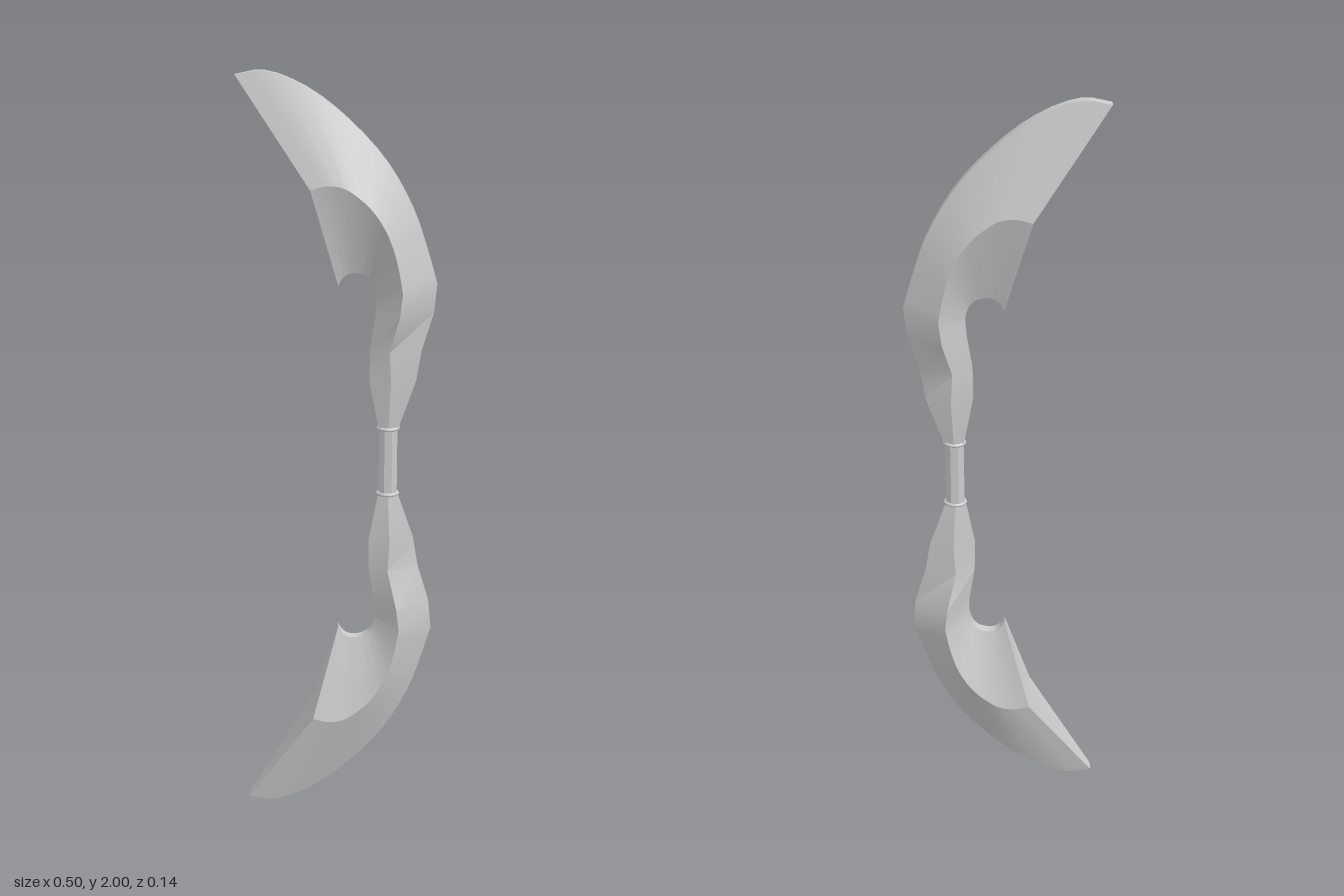
import * as THREE from 'three';
import { toCreasedNormals } from 'three/addons/utils/BufferGeometryUtils.js';

const EDGE = 0.013; // half thickness of the blade edges

// Each station: outer edge x,y, ridge x,y, inner edge x,y (y measured from the grip centre)
const CURVED = [
  [-0.25, 0.99, -0.07, 0.72, 0, 0.47],
  [-0.18, 1.0, -0.03, 0.73, 0.01, 0.488],
  [-0.075, 0.96, 0.01, 0.725, 0.025, 0.5],
  [0.03, 0.88, 0.05, 0.7, 0.045, 0.503],
  [0.125, 0.775, 0.09, 0.66, 0.07, 0.497],
  [0.19, 0.66, 0.125, 0.6, 0.085, 0.483],
  [0.225, 0.56, 0.147, 0.53, 0.093, 0.465],
  [0.25, 0.475, 0.16, 0.46, 0.098, 0.44],
];
// Neck stations, with the ridge half thickness last
const NECK = [
  [0.243, 0.4, 0.153, 0.4, 0.095, 0.39, 0.07],
  [0.213, 0.3, 0.13, 0.3, 0.081, 0.3, 0.035],
  [0.2, 0.22, 0.135, 0.22, 0.08, 0.22, 0.035],
  [0.155, 0.09, 0.13, 0.09, 0.105, 0.09, 0.018],
];

function bladeGeometry() {
  // Smooth the curved part of the three guide lines, then append the neck
  const steps = 21;
  const guides = [0, 2, 4].map((k) => new THREE.CatmullRomCurve3(
    CURVED.map((s) => new THREE.Vector3(s[k], s[k + 1], 0))));
  const stations = [];
  for (let i = 0; i <= steps; i++) {
    stations.push([...guides.flatMap((g) => {
      const p = g.getPoint(i / steps);
      return [p.x, p.y];
    }), 0.07]);
  }
  stations.push(...NECK);

  // Six-sided cross-section: outer edge, ridge, inner edge, front then back
  const positions = [];
  for (const [ox, oy, rx, ry, ix, iy, z] of stations) {
    positions.push(ox, oy, EDGE, rx, ry, z, ix, iy, EDGE,
      ix, iy, -EDGE, rx, ry, -z, ox, oy, -EDGE);
  }
  // Bevelled cut at the open end of the blade
  const index = [0, 5, 4, 0, 4, 1, 1, 4, 3, 1, 3, 2];
  for (let s = 0; s < stations.length - 1; s++) {
    for (let i = 0; i < 6; i++) {
      const a = s * 6 + i, b = s * 6 + (i + 1) % 6;
      index.push(a, b, b + 6, a, b + 6, a + 6);
    }
  }
  const geometry = new THREE.BufferGeometry();
  geometry.setAttribute('position', new THREE.Float32BufferAttribute(positions, 3));
  geometry.setIndex(index);
  return toCreasedNormals(geometry, 0.38);
}

export function createModel() {
  const model = new THREE.Group();
  model.name = 'doubleBlade';
  const material = new THREE.MeshStandardMaterial({ color: 0xcccccc });
  const flat = new THREE.MeshStandardMaterial({ color: 0xcccccc, flatShading: true });

  // Two blades; the lower one is the upper turned over
  const geometry = bladeGeometry();
  for (const [name, turn] of [['upperBlade', 0], ['lowerBlade', Math.PI]]) {
    const blade = new THREE.Mesh(geometry, material);
    blade.name = name;
    blade.position.y = 1;
    blade.rotation.x = turn;
    model.add(blade);
  }

  // Grip: slim eight-sided bar
  const grip = new THREE.Mesh(
    new THREE.CylinderGeometry(0.026, 0.026, 0.19, 8).rotateY(Math.PI / 8).scale(1, 1, 0.72), flat);
  grip.name = 'grip';
  grip.position.set(0.13, 1, 0);
  model.add(grip);

  // Collars where the grip meets each neck
  for (const side of [-1, 1]) {
    const collar = new THREE.Mesh(
      new THREE.TorusGeometry(0.026, 0.005, 8, 20).rotateX(Math.PI / 2).scale(1, 1, 0.85), material);
    collar.name = side > 0 ? 'upperCollar' : 'lowerCollar';
    collar.position.set(0.13, 1 + side * 0.09, 0);
    model.add(collar);
  }
  return model;
}
